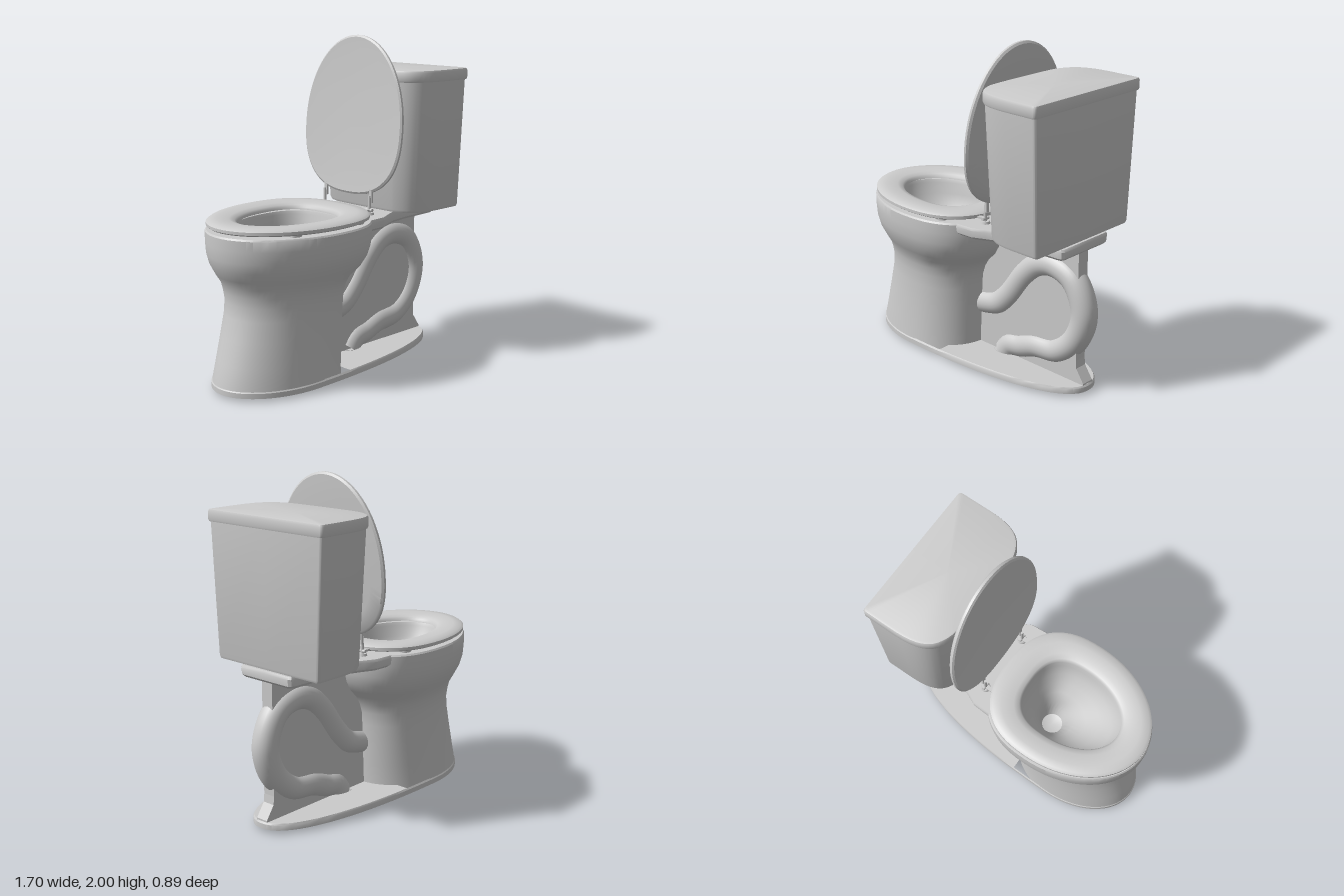
import * as THREE from 'three';
import { toCreasedNormals } from 'three/addons/utils/BufferGeometryUtils.js';

const material = new THREE.MeshStandardMaterial({ color: 0xcccccc, side: THREE.DoubleSide });

// Unit outlines: u runs 0..1 from front to back, v runs -1..1 across.
function egg(widest, nFront, nBack, segments = 72) {
  const points = [];
  for (let i = 0; i < segments; i++) {
    const t = (i / segments) * Math.PI * 2, c = Math.cos(t), s = Math.sin(t);
    const p = 2 / (c > 0 ? nBack : nFront);
    const reach = Math.pow(Math.abs(c), p);
    points.push([
      c > 0 ? widest + (1 - widest) * reach : widest - widest * reach,
      Math.sign(s) * Math.pow(Math.abs(s), p),
    ]);
  }
  return points;
}

// Completes a half outline that runs from the back centre to the front centre.
function mirrorOutline(half) {
  return [...half, ...half.slice(1, -1).reverse().map(([u, v]) => [u, -v])];
}

// Skins rows of [y, xFront, xBack, halfWidth, outline?].
function loft(outline, rows, crease = 0.6) {
  const n = outline.length, position = [], index = [];
  for (const [y, x0, x1, half, own] of rows) {
    for (const [u, v] of own || outline) position.push(x0 + u * (x1 - x0), y, v * half);
  }
  for (let r = 0; r < rows.length - 1; r++) {
    for (let i = 0; i < n; i++) {
      const a = r * n + i, b = r * n + ((i + 1) % n);
      index.push(a, a + n, b, b, a + n, b + n);
    }
  }
  const geometry = new THREE.BufferGeometry();
  geometry.setAttribute('position', new THREE.Float32BufferAttribute(position, 3));
  geometry.setIndex(index);
  return toCreasedNormals(geometry, crease);
}

export function createModel() {
  const model = new THREE.Group();
  model.name = 'toilet';
  const add = (name, geometry, x = 0, y = 0, z = 0) => {
    const mesh = new THREE.Mesh(geometry, material);
    mesh.name = name;
    mesh.position.set(x, y, z);
    model.add(mesh);
    return mesh;
  };

  const rim = egg(0.57, 2, 2.5), foot = egg(0.57, 2, 2.2), hole = egg(0.6, 2, 2.6), drain = egg(0.5, 2, 2);

  // Pedestal, bowl, rim and basin as one skin, open underneath
  add('bowl', loft(rim, [
    [0.02, -0.85, -0.02, 0.318, foot],
    [0.06, -0.845, -0.02, 0.315, foot],
    [0.18, -0.815, -0.015, 0.308, foot],
    [0.32, -0.78, -0.01, 0.303, foot],
    [0.44, -0.75, -0.005, 0.302, foot],
    [0.52, -0.74, 0, 0.305, foot],
    [0.58, -0.75, 0.02, 0.315, foot],
    [0.63, -0.762, 0.05, 0.332, foot],
    [0.68, -0.795, 0.1, 0.363],
    [0.74, -0.828, 0.135, 0.395],
    [0.8, -0.845, 0.152, 0.413],
    [0.87, -0.85, 0.16, 0.42],
    [0.93, -0.85, 0.16, 0.42],
    [0.94, -0.843, 0.153, 0.413],
    [0.94, -0.69, -0.01, 0.27, hole],
    [0.92, -0.68, -0.015, 0.262, hole],
    [0.85, -0.66, -0.025, 0.255, hole],
    [0.77, -0.6, -0.045, 0.232, hole],
    [0.7, -0.52, -0.075, 0.195, hole],
    [0.63, -0.43, -0.105, 0.15, hole],
    [0.57, -0.35, -0.125, 0.115, drain],
    [0.48, -0.29, -0.13, 0.085, drain],
    [0.4, -0.27, -0.14, 0.065, drain],
    [0.38, -0.2, -0.2, 0, drain],
  ]));

  // Base plate: a hollow skirt with a top behind the pedestal
  const plan = egg(0.283, 2, 2.3);
  add('baseSkirt', loft(plan, [
    [0.02, -0.85, 0.82, 0.32],
    [0.05, -0.85, 0.82, 0.32],
    [0.06, -0.843, 0.813, 0.313],
  ]));
  const top = new THREE.Shape(plan
    .map(([u, v]) => new THREE.Vector2(-0.843 + u * 1.656, v * 0.313))
    .filter((p) => p.x > -0.18)
    .sort((a, b) => Math.atan2(a.y, a.x - 0.2) - Math.atan2(b.y, b.x - 0.2)));
  add('baseTop', new THREE.ShapeGeometry(top).rotateX(-Math.PI / 2), 0, 0.06, 0);

  // Upright web behind the pedestal, with a flared toe
  const web = new THREE.Shape([
    [-0.03, 0.05], [0.81, 0.05], [0.81, 0.07], [0.755, 0.15], [0.75, 0.2], [0.75, 0.88], [0.1, 0.88], [0, 0.58],
  ].map(([x, y]) => new THREE.Vector2(x, y)));
  add('web', new THREE.ExtrudeGeometry(web, { depth: 0.08, bevelEnabled: false }), 0, 0, -0.04);

  // Looping trapway and its outlet
  const path = new THREE.CatmullRomCurve3([
    [-0.06, 0.32], [0.03, 0.335], [0.12, 0.365], [0.21, 0.45], [0.34, 0.625], [0.44, 0.71], [0.55, 0.735],
    [0.69, 0.68], [0.77, 0.5], [0.72, 0.32], [0.59, 0.205], [0.42, 0.175], [0.31, 0.135], [0.22, 0.11], [0.17, 0.05],
  ].map(([x, y]) => new THREE.Vector3(x, y, 0)));
  add('trapway', new THREE.TubeGeometry(path, 90, 0.078, 24));
  add('outlet', new THREE.CylinderGeometry(0.078, 0.078, 0.06, 24, 1, true), 0.165, 0.032, 0);

  // Deck carrying the tank
  const deck = mirrorOutline([
    [1, 0], [1, 0.57], [0.985, 0.62], [0.95, 0.64], [0.6, 0.68], [0.42, 0.74], [0.3, 0.86], [0.2, 0.97], [0, 1], [0, 0],
  ]);
  add('deck', loft(deck, [
    [0.87, 0.3, 0.3, 0],
    [0.87, 0.03, 0.75, 0.3],
    [0.885, 0.02, 0.765, 0.318],
    [0.925, 0.02, 0.768, 0.322],
    [0.94, 0.02, 0.76, 0.315],
    [0.94, 0.3, 0.3, 0],
  ]));

  // Tank and tank lid share a plan with a square back and wide front curves
  const half = new THREE.Shape();
  half.moveTo(1, 0);
  half.lineTo(1, 0.95);
  half.quadraticCurveTo(1, 1, 0.95, 1);
  half.lineTo(0.55, 1);
  half.bezierCurveTo(0.2, 0.99, 0.08, 0.88, 0.02, 0.62);
  half.quadraticCurveTo(0, 0.5, 0, 0);
  const tank = mirrorOutline(half.getPoints(10).map((p) => [p.x, p.y]));
  add('tank', loft(tank, [
    [0.94, 0.53, 0.53, 0],
    [0.94, 0.315, 0.745, 0.392],
    [0.955, 0.308, 0.75, 0.398],
    [1.74, 0.277, 0.756, 0.433],
  ]));
  add('tankLid', loft(tank, [
    [1.73, 0.52, 0.52, 0],
    [1.73, 0.272, 0.762, 0.44],
    [1.74, 0.268, 0.765, 0.444],
    [1.785, 0.268, 0.765, 0.444],
    [1.797, 0.273, 0.761, 0.439],
    [1.8, 0.285, 0.75, 0.428],
    [1.8, 0.52, 0.52, 0],
  ]));

  // Seat ring
  const inner = [0.955, -0.655, -0.04, 0.24, hole];
  add('seat', loft(rim, [
    inner,
    [0.955, -0.83, 0.13, 0.4],
    [0.963, -0.842, 0.142, 0.413],
    [0.98, -0.842, 0.142, 0.413],
    [0.991, -0.825, 0.127, 0.398],
    [0.995, -0.775, 0.075, 0.352],
    [0.99, -0.705, 0, 0.285, hole],
    [0.98, -0.672, -0.028, 0.253, hole],
    [0.967, -0.66, -0.038, 0.243, hole],
    inner,
  ], 0.9));

  // Raised seat cover, domed toward the tank
  const cover = add('seatCover', loft(rim, [
    [0.006, -0.48, -0.48, 0],
    [0.004, -0.88, -0.07, 0.33],
    [0, -0.945, -0.012, 0.392],
    [0.008, -0.957, 0, 0.402],
    [0.022, -0.957, 0, 0.402],
    [0.032, -0.945, -0.012, 0.39],
    [0.038, -0.86, -0.09, 0.31],
    [0.042, -0.7, -0.25, 0.17],
    [0.043, -0.48, -0.48, 0],
  ]), 0.167, 1.045, 0);
  cover.rotation.z = -Math.PI / 2 - 0.085;

  // Hinges and seat bumpers, mirrored
  for (const side of [-1, 1]) {
    const z = side * 0.19;
    add('hingeFoot', new THREE.CylinderGeometry(0.026, 0.03, 0.014, 20), 0.165, 0.947, z);
    add('hingePost', new THREE.CylinderGeometry(0.008, 0.011, 0.11, 12), 0.165, 0.998, z);
    add('hingePin', new THREE.CylinderGeometry(0.01, 0.01, 0.05, 12).rotateX(Math.PI / 2), 0.165, 0.968, z);
    add('hingeArm', new THREE.BoxGeometry(0.07, 0.012, 0.025), 0.135, 0.966, z);
    add('coverArm', new THREE.BoxGeometry(0.014, 0.08, 0.022), 0.178, 1.05, z);
    for (const [x, spread] of [[-0.54, 0.3], [-0.07, 0.32]]) {
      const bumper = add('bumper', new THREE.CylinderGeometry(0.032, 0.032, 0.02, 16), x, 0.948, side * spread);
      bumper.scale.x = 1.2;
    }
  }
  return model;
}
